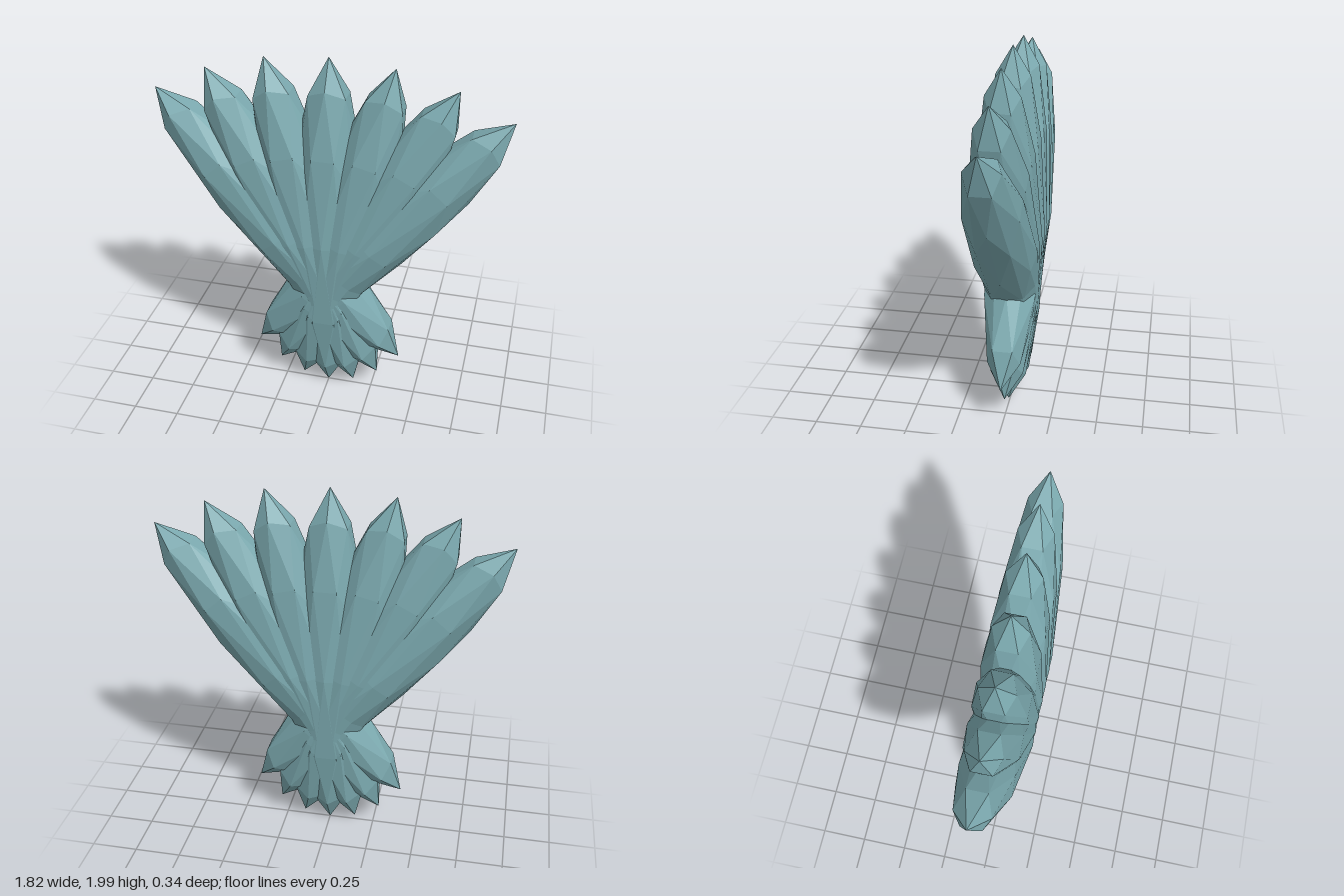
import * as THREE from 'three';

export function createModel() {
  const model = new THREE.Group();
  model.name = 'fan';
  const teal = new THREE.MeshStandardMaterial({ color: 0x7caab0 });
  teal.name = 'dusty teal';
  teal.flatShading = true;

  // One blade: a faceted ball stretched into a long pointed spindle
  const blade = new THREE.IcosahedronGeometry(1, 1);
  blade.rotateY(Math.PI / 2);
  blade.scale(0.19, 0.996, 0.17);

  // Seven blades fanned out, crossing below their middles
  for (let i = -3; i <= 3; i++) {
    const angle = i * 0.24;
    const mesh = new THREE.Mesh(blade, teal);
    mesh.name = i === 0 ? 'middleBlade' : (i > 0 ? 'leftBlade' : 'rightBlade') + Math.abs(i);
    mesh.position.set(0.385 * Math.sin(angle), 1.004, 0);
    mesh.rotation.z = -angle;
    model.add(mesh);
  }
  return model;
}
